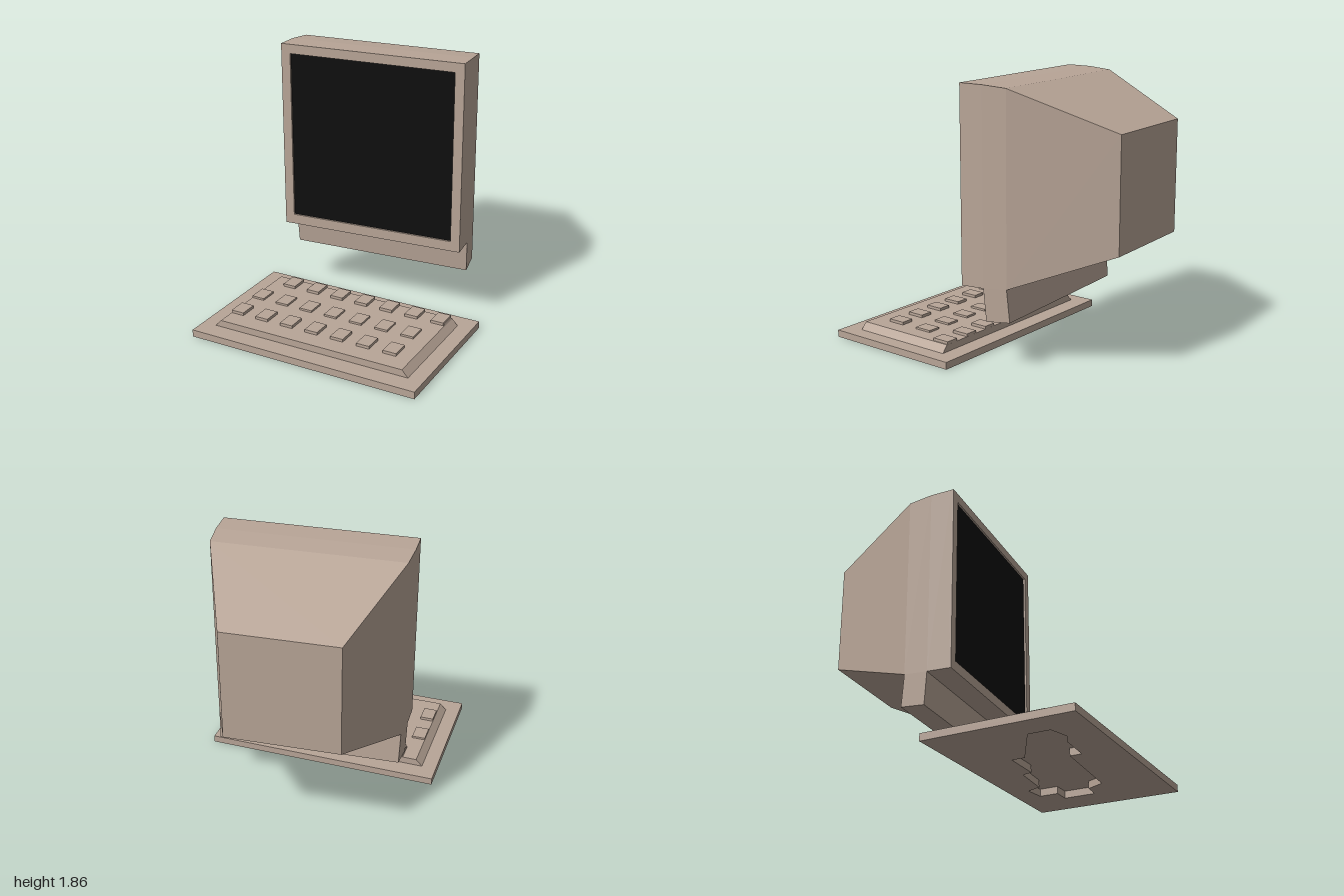
import * as THREE from 'three';

const casing = new THREE.MeshStandardMaterial({ color: 0xb8a597 });
casing.name = 'beige casing';
const glass = new THREE.MeshStandardMaterial({ color: 0x0d0d0d });
glass.name = 'black glass';

function part(parent, name, geometry, material = casing) {
  const mesh = new THREE.Mesh(geometry, material);
  mesh.name = name;
  parent.add(mesh);
  return mesh;
}

// One four-cornered cross-section, counter-clockwise from the front
function section(bottom, top) {
  const [bw, by, bz] = bottom, [tw, ty, tz] = top;
  return [[-bw, by, bz], [bw, by, bz], [tw, ty, tz], [-tw, ty, tz]];
}

// Flat-faced solid through cross-sections listed from front to back
function loft(rings) {
  const pos = [];
  const quad = (a, b, c, d) => pos.push(...a, ...b, ...c, ...a, ...c, ...d);
  for (let r = 0; r < rings.length - 1; r++) {
    for (let i = 0; i < 4; i++) {
      const j = (i + 1) % 4;
      quad(rings[r][i], rings[r + 1][i], rings[r + 1][j], rings[r][j]);
    }
  }
  quad(...rings[0]);
  quad(...[...rings[rings.length - 1]].reverse());
  const geometry = new THREE.BufferGeometry();
  geometry.setAttribute('position', new THREE.Float32BufferAttribute(pos, 3));
  geometry.computeVertexNormals();
  return geometry;
}

function polygon(points, Type = THREE.Shape) {
  return new Type(points.map(([x, y]) => new THREE.Vector2(x, y)));
}

function rectangle(x0, y0, x1, y1, Type) {
  return polygon([[x0, y0], [x1, y0], [x1, y1], [x0, y1]], Type);
}

function createMonitor() {
  const monitor = new THREE.Group();
  monitor.name = 'monitor';
  const recess = 0.015;

  // Housing tapering towards the back
  part(monitor, 'housing', loft([
    [0.66, 0.535, 1.855, -recess],
    [0.658, 0.54, 1.853, -0.17],
    [0.642, 0.555, 1.84, -0.34],
    [0.383, 0.815, 1.58, -1.005],
  ].map(([w, y0, y1, z]) => section([w, y0, z], [w, y1, z]))));

  // Bezel around the sunken screen
  const bezel = rectangle(-0.66, 0.535, 0.66, 1.855);
  bezel.holes.push(rectangle(-0.594, 0.605, 0.594, 1.79, THREE.Path));
  part(monitor, 'bezel', new THREE.ExtrudeGeometry(bezel, { depth: recess, bevelEnabled: false }))
    .position.z = -recess;
  part(monitor, 'screen', new THREE.PlaneGeometry(1.188, 1.185), glass)
    .position.set(0, 1.1975, -recess + 0.002);

  // Foot bar under the housing
  part(monitor, 'foot', loft([
    section([0.652, 0.318, -0.188], [0.658, 0.541, -0.17]),
    section([0.636, 0.335, -0.36], [0.642, 0.556, -0.34]),
  ]));

  // Turned slightly to its left
  monitor.position.set(0.012, 0, 0.03);
  monitor.rotation.y = 0.076;
  return monitor;
}

function createKeyboard() {
  const keyboard = new THREE.Group();
  keyboard.name = 'keyboard';

  // Base plate with a stepped hollow underneath
  const plate = rectangle(-0.835, -0.02, 0.835, 1);
  plate.holes.push(polygon([
    [0.6, 0.49], [0.6, 0.27], [0.48, 0.27], [0.48, 0.14], [0.34, 0.12], [0.3, 0.22],
    [0.02, 0.24], [0, 0.31], [-0.27, 0.31], [-0.27, 0.4], [-0.63, 0.6], [-0.63, 0.75],
    [-0.49, 0.79], [-0.4, 0.75], [-0.17, 0.74], [-0.17, 0.66], [0.42, 0.62], [0.48, 0.5],
  ], THREE.Path));
  const plateGeometry = new THREE.ExtrudeGeometry(plate, { depth: 0.05, bevelEnabled: false });
  plateGeometry.rotateX(Math.PI / 2);
  part(keyboard, 'basePlate', plateGeometry).position.y = 0.05;

  // Raised deck with sloping ends
  const deck = polygon([[-0.733, 0.05], [0.728, 0.05], [0.685, 0.098], [-0.688, 0.098]]);
  part(keyboard, 'deck', new THREE.ExtrudeGeometry(deck, { depth: 0.767, bevelEnabled: false }))
    .position.z = 0.105;

  // Three staggered rows of keys: first x, z, top height
  const rows = [[-0.54, 0.169, 0.118], [-0.64, 0.425, 0.112], [-0.64, 0.68, 0.118]];
  for (const [x, z, top] of rows) {
    for (let i = 0; i < 7; i++) {
      part(keyboard, 'key', new THREE.BoxGeometry(0.095, top - 0.09, 0.127))
        .position.set(x + i * 0.195, (top + 0.09) / 2, z);
    }
  }
  return keyboard;
}

export function createModel() {
  const model = new THREE.Group();
  model.name = 'desktopTerminal';
  model.add(createMonitor(), createKeyboard());
  return model;
}
